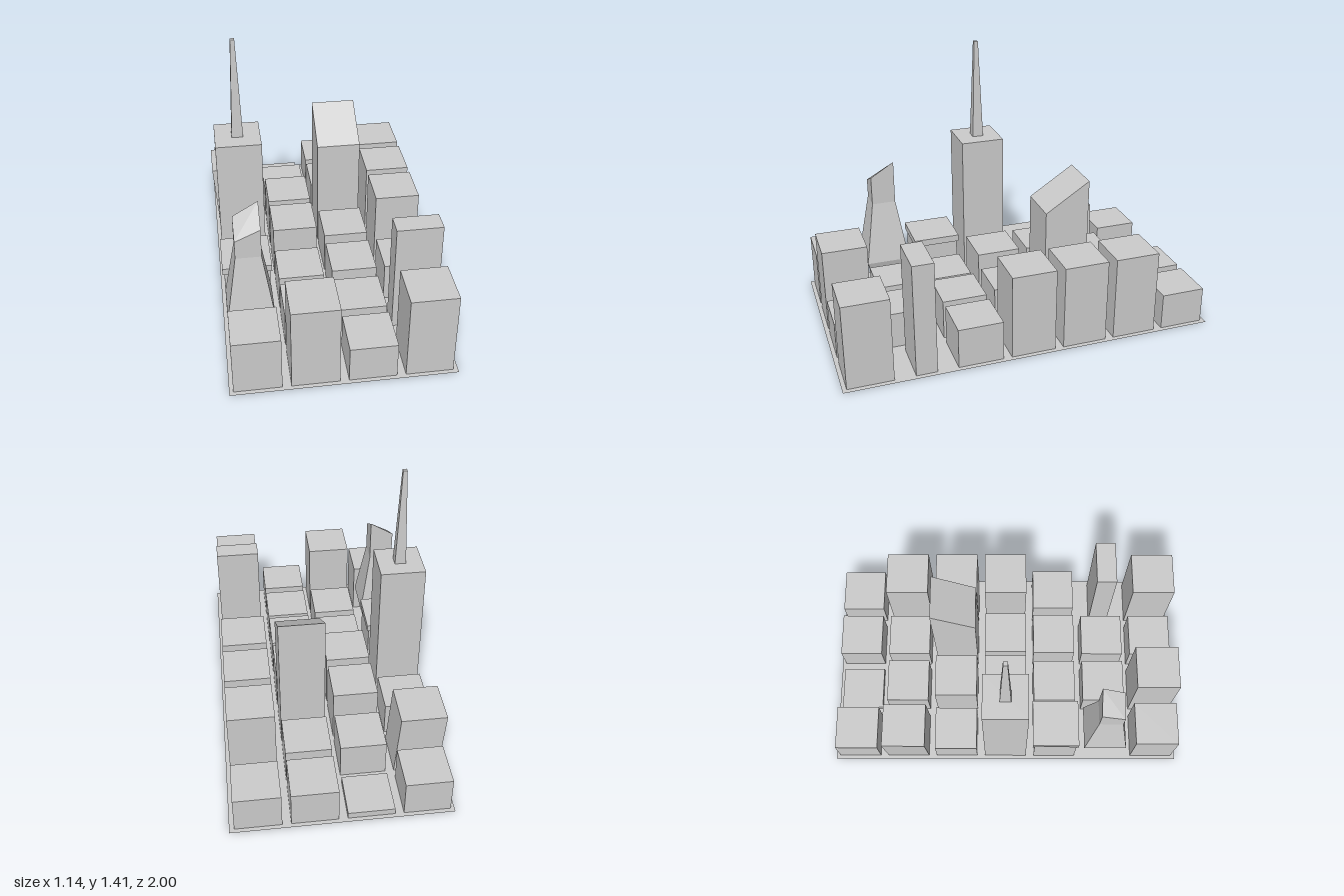
import * as THREE from 'three';

const SIZE = 0.24, PITCH = 0.286;
const material = new THREE.MeshStandardMaterial({ color: 0xcccccc, flatShading: true, side: THREE.DoubleSide });

// Four corners, anticlockwise from front left; y is one height or one per corner
function ring(x, z, w, d, y) {
  const h = Array.isArray(y) ? y : [y, y, y, y];
  return [[-1, 1], [1, 1], [1, -1], [-1, -1]].map(([sx, sz], i) =>
    new THREE.Vector3(x + sx * w / 2, h[i], z + sz * d / 2));
}

// Walls between successive rings, closed by a roof and open below
function loft(rings) {
  const pts = [];
  for (let r = 0; r < rings.length - 1; r++) {
    const a = rings[r], b = rings[r + 1];
    for (let i = 0; i < 4; i++) {
      const j = (i + 1) % 4;
      pts.push(a[i], a[j], b[j], a[i], b[j], b[i]);
    }
  }
  const t = rings[rings.length - 1];
  pts.push(t[0], t[1], t[2], t[0], t[2], t[3]);
  const geometry = new THREE.BufferGeometry().setFromPoints(pts);
  geometry.computeVertexNormals();
  return geometry;
}

export function createModel() {
  const city = new THREE.Group();
  city.name = 'cityBlocks';
  const add = (name, geometry) => {
    const mesh = new THREE.Mesh(geometry, material);
    mesh.name = name;
    city.add(mesh);
    return mesh;
  };

  // Building heights: rows run from back to front, columns from -x to +x
  const heights = [
    [0.2, 0.035, 0.2, 0.2],
    [0.355, 0.2, 0.2, 0.465],
    [0.19, 0.3, 0.645, 0.465],
    [0.865, 0.305, 0.24, 0.465],
    [0.267, 0.2, 0.22, 0.22],
    [0.2, 0.2, 0.2, 0.622],
    [0.305, 0.462, 0.2, 0.465],
  ];

  const ground = new THREE.Shape([[-0.57, -1], [0.57, -1], [0.57, 1], [-0.57, 1]]
    .map(([x, y]) => new THREE.Vector2(x, y)));

  heights.forEach((row, r) => row.forEach((h, c) => {
    const x = -0.43 + c * 0.285, z = (r - 3) * PITCH;
    const key = r + '-' + c;
    let w = SIZE, d = SIZE, name = 'building', upper;

    if (key === '1-0') { // leaning block
      name = 'leaningBuilding';
      upper = [ring(x - 0.025, z, w, d, h)];
    } else if (key === '2-2') { // sloping roof, higher at the back
      name = 'slopedRoofTower';
      upper = [ring(x, z, w, d, [h, h, 0.8, 0.8])];
    } else if (key === '5-0') { // tower flaring out, then in to a slanted top
      name = 'flaredTower';
      w = d = 0.13;
      upper = [ring(x, z, SIZE, SIZE, h), ring(x, z, w, d, 0.545),
        ring(x, z, w, d, [0.645, 0.705, 0.785, 0.705])];
    } else {
      if (key === '5-3') { // thin slab tower
        name = 'slabTower';
        d = 0.112;
      }
      upper = [ring(x, z, w, d, h)];
    }
    const base = ring(x, z, w, d, 0);
    add(name, loft([base, ...upper]));
    ground.holes.push(new THREE.Path(base.map(p => new THREE.Vector2(p.x, -p.z)).reverse()));

    if (key === '3-0') { // spire on the tallest tower
      add('spire', loft([ring(x, z, 0.06, 0.06, h), ring(x, z, 0.022, 0.022, 1.413)]));
    }
    if (key === '4-0') { // overhanging flat roof
      add('overhangingRoof', new THREE.BoxGeometry(0.26, 0.038, 0.26))
        .position.set(x, h + 0.019, z);
    }
  }));

  // Ground sheet, cut open under each building
  add('ground', new THREE.ShapeGeometry(ground).rotateX(-Math.PI / 2));
  return city;
}
